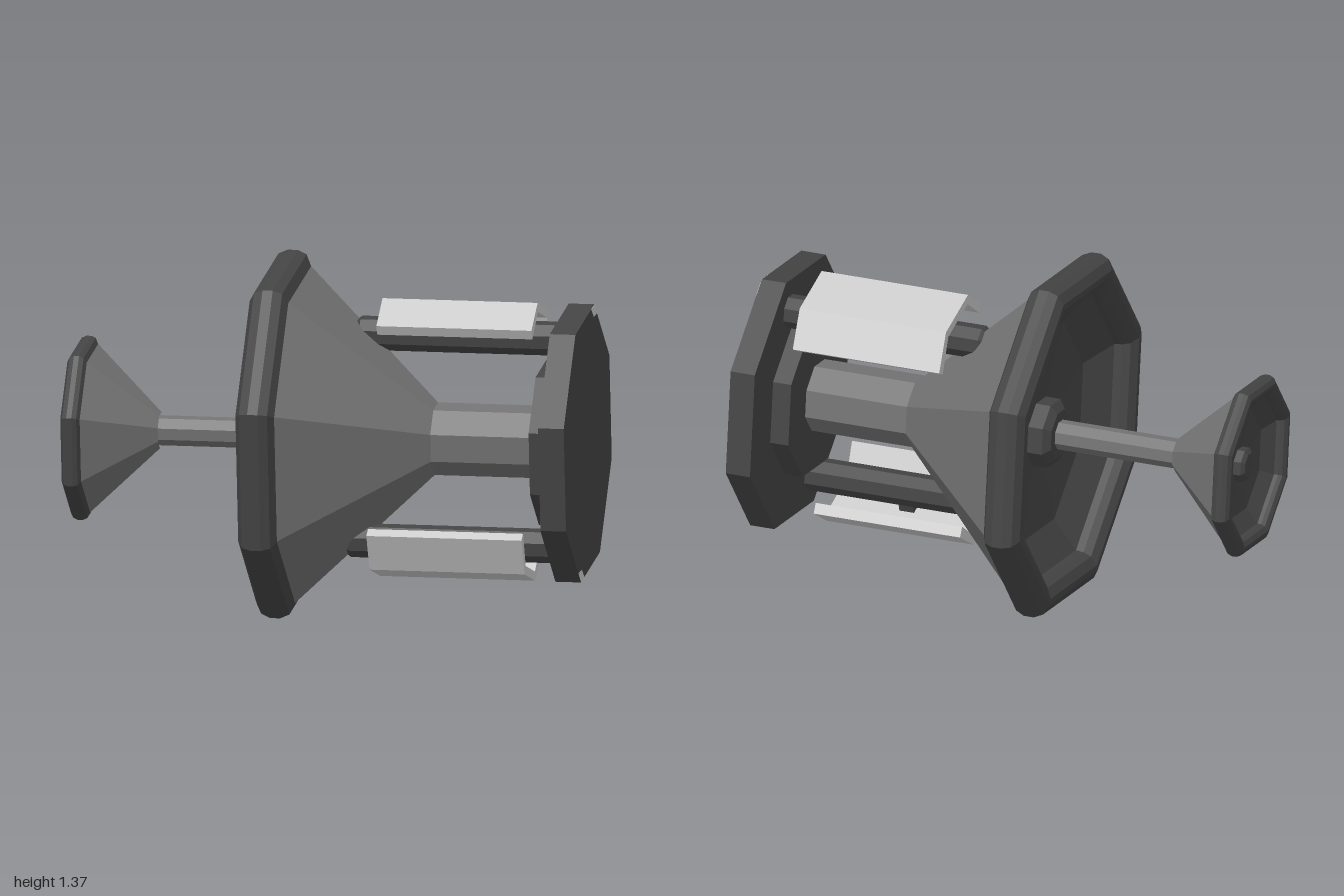
import * as THREE from 'three';

const mat = (color) => new THREE.MeshStandardMaterial({ color, flatShading: true });

export function createModel() {
  const dark = mat(0x444444), mid = mat(0x737373), light = mat(0xcccccc);

  // everything is built around the x axis, then rolled and lifted
  const body = new THREE.Group();
  body.name = 'body';
  body.rotation.x = THREE.MathUtils.degToRad(-15.5);
  body.position.y = 0.6875;

  const add = (parent, name, geometry, material) => {
    const mesh = new THREE.Mesh(geometry, material);
    mesh.name = name;
    parent.add(mesh);
    return mesh;
  };

  // eight-sided turned part from [x, radius] pairs, running from -x to +x
  const turned = (parent, name, profile, material) => add(parent, name,
    new THREE.LatheGeometry(profile.map(([x, r]) => new THREE.Vector2(r, x)), 8).rotateZ(-Math.PI / 2),
    material);

  // cross-section in (z, y) extruded along x
  const extruded = (parent, name, points, x0, x1, material) => {
    const shape = new THREE.Shape(points.map(([u, v]) => new THREE.Vector2(u, v)));
    const geometry = new THREE.ExtrudeGeometry(shape, { depth: x1 - x0, bevelEnabled: false });
    return add(parent, name, geometry.rotateY(Math.PI / 2).translate(x0, 0, 0), material);
  };

  // hollow dish: bevelled rim, recess with a hub, and tapering cone
  const dish = (name, x, scale) => {
    const group = new THREE.Group();
    group.name = name;
    turned(group, 'rim', [
      [0.08, 0.57], [0.05, 0.575], [0.02, 0.59], [0, 0.63], [0, 0.655],
      [0.02, 0.695], [0.055, 0.711], [0.095, 0.711], [0.13, 0.695], [0.15, 0.65],
    ], dark);
    turned(group, 'recess', [[0.17, 0], [0.17, 0.14], [0.155, 0.43], [0.08, 0.57]], dark);
    turned(group, 'hub', [[0.085, 0], [0.085, 0.1], [0.11, 0.135], [0.18, 0.135]], dark);
    turned(group, 'cone', [[0.15, 0.65], [0.67, 0.14]], mid);
    group.scale.setScalar(scale);
    group.position.x = x;
    body.add(group);
  };
  dish('largeDish', -0.26, 1);
  dish('smallDish', -1, 0.5);

  // central shaft, thin neck and end plates
  turned(body, 'shaft', [[0.3, 0.14], [0.83, 0.14]], mid);
  turned(body, 'neck', [[-0.72, 0.058], [-0.16, 0.058]], mid);
  turned(body, 'innerPlate', [[0.825, 0], [0.825, 0.32], [0.91, 0.32], [0.91, 0]], dark);
  turned(body, 'endPlate', [[0.9, 0], [0.9, 0.537], [1, 0.537], [1, 0]], dark);

  // two opposite side assemblies: rod, curved cover and pale corner tip
  for (let i = 0; i < 2; i++) {
    const side = new THREE.Group();
    side.name = i ? 'lowerSide' : 'upperSide';
    side.rotation.x = i * Math.PI;
    body.add(side);

    const rod = turned(side, 'rod', [[0.07, 0], [0.07, 0.045], [0.1, 0.066], [0.905, 0.066], [0.905, 0]], dark);
    rod.position.y = 0.4;

    extruded(side, 'cover', [
      [-0.225, 0.405], [-0.195, 0.375], [-0.103, 0.49], [0.103, 0.49],
      [0.195, 0.375], [0.225, 0.405], [0.118, 0.524], [-0.118, 0.524],
    ], 0.195, 0.8, light);

    const post = add(side, 'coverPost', new THREE.BoxGeometry(0.06, 0.06, 0.06), dark);
    post.position.set(0.5, 0.47, 0);

    extruded(side, 'cornerTip', [[0, 0.537], [-0.065, 0.51], [0, 0.488], [0.065, 0.51]], 0.985, 1.001, light);
  }

  const model = new THREE.Group();
  model.name = 'model';
  model.add(body);
  return model;
}
